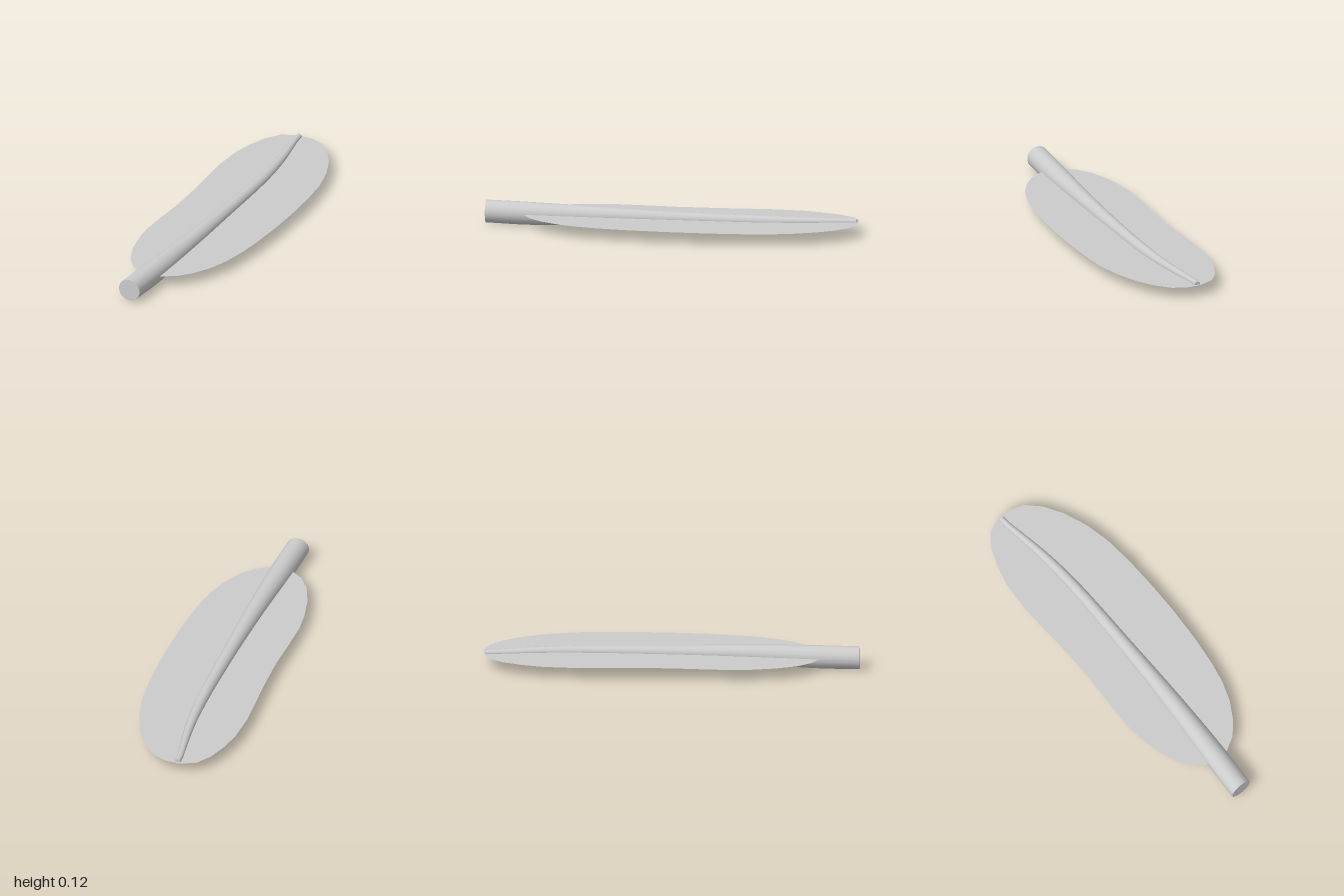
import * as THREE from 'three';

const grey = new THREE.MeshStandardMaterial({ color: 0xcccccc });
const greyThin = new THREE.MeshStandardMaterial({ color: 0xcccccc, side: THREE.DoubleSide });

// Quill stations from the thick front end to the tip: x, y, z, radius
const STATIONS = [
  [-0.077, 0.065, 1, 0.061],
  [-0.058, 0.063, 0.75, 0.061],
  [-0.036, 0.067, 0.4, 0.05],
  [-0.021, 0.068, 0, 0.038],
  [-0.014, 0.069, -0.45, 0.031],
  [-0.026, 0.07, -0.68, 0.025],
  [-0.05, 0.07, -0.87, 0.019],
  [-0.06, 0.07, -0.94, 0.017],
  [-0.062, 0.07, -0.99, 0.016],
];

// Blade outline as x, z, running round from the tip along the left side
const OUTLINE = [
  [-0.08, -1], [0, -1], [0.08, -0.97], [0.15, -0.9], [0.21, -0.8], [0.26, -0.67],
  [0.29, -0.53], [0.302, -0.37], [0.305, -0.2], [0.3, 0], [0.285, 0.2], [0.265, 0.35],
  [0.24, 0.47], [0.2, 0.58], [0.14, 0.68], [0.08, 0.745], [0, 0.79], [-0.04, 0.8],
  [-0.11, 0.79], [-0.18, 0.745], [-0.235, 0.67], [-0.275, 0.56], [-0.3, 0.43], [-0.308, 0.33],
  [-0.3, 0.17], [-0.288, 0], [-0.287, -0.2], [-0.293, -0.4], [-0.296, -0.52], [-0.283, -0.68],
  [-0.255, -0.79], [-0.215, -0.89], [-0.16, -0.965],
];

// Tapered, gently bent round shaft: a unit cylinder laid along z and bent through the stations
function makeQuill() {
  const centre = new THREE.CatmullRomCurve3(STATIONS.map(([x, y, z]) => new THREE.Vector3(x, y, z)));
  const radius = new THREE.CatmullRomCurve3(STATIONS.map((s) => new THREE.Vector3(s[3], 0, 0)), false, 'catmullrom');
  const geometry = new THREE.CylinderGeometry(1, 1, 2, 18, 32);
  geometry.rotateX(Math.PI / 2);
  const pos = geometry.attributes.position;
  for (let i = 0; i < pos.count; i++) {
    const t = THREE.MathUtils.clamp((1 - pos.getZ(i)) / 2, 0, 1);
    const c = centre.getPoint(t);
    const r = radius.getPoint(t).x;
    pos.setXYZ(i, c.x + pos.getX(i) * r, c.y + pos.getY(i) * r, c.z);
  }
  const mesh = new THREE.Mesh(geometry, grey);
  mesh.name = 'quill';
  return mesh;
}

// Flat, paper-thin blade lying through the middle of the quill
function makeBlade() {
  const shape = new THREE.Shape(OUTLINE.map(([x, z]) => new THREE.Vector2(x, -z)));
  const geometry = new THREE.ShapeGeometry(shape);
  geometry.rotateX(-Math.PI / 2);
  const mesh = new THREE.Mesh(geometry, greyThin);
  mesh.position.y = 0.068;
  mesh.name = 'blade';
  return mesh;
}

export function createModel() {
  const group = new THREE.Group();
  group.name = 'feather';
  group.add(makeQuill(), makeBlade());
  return group;
}
